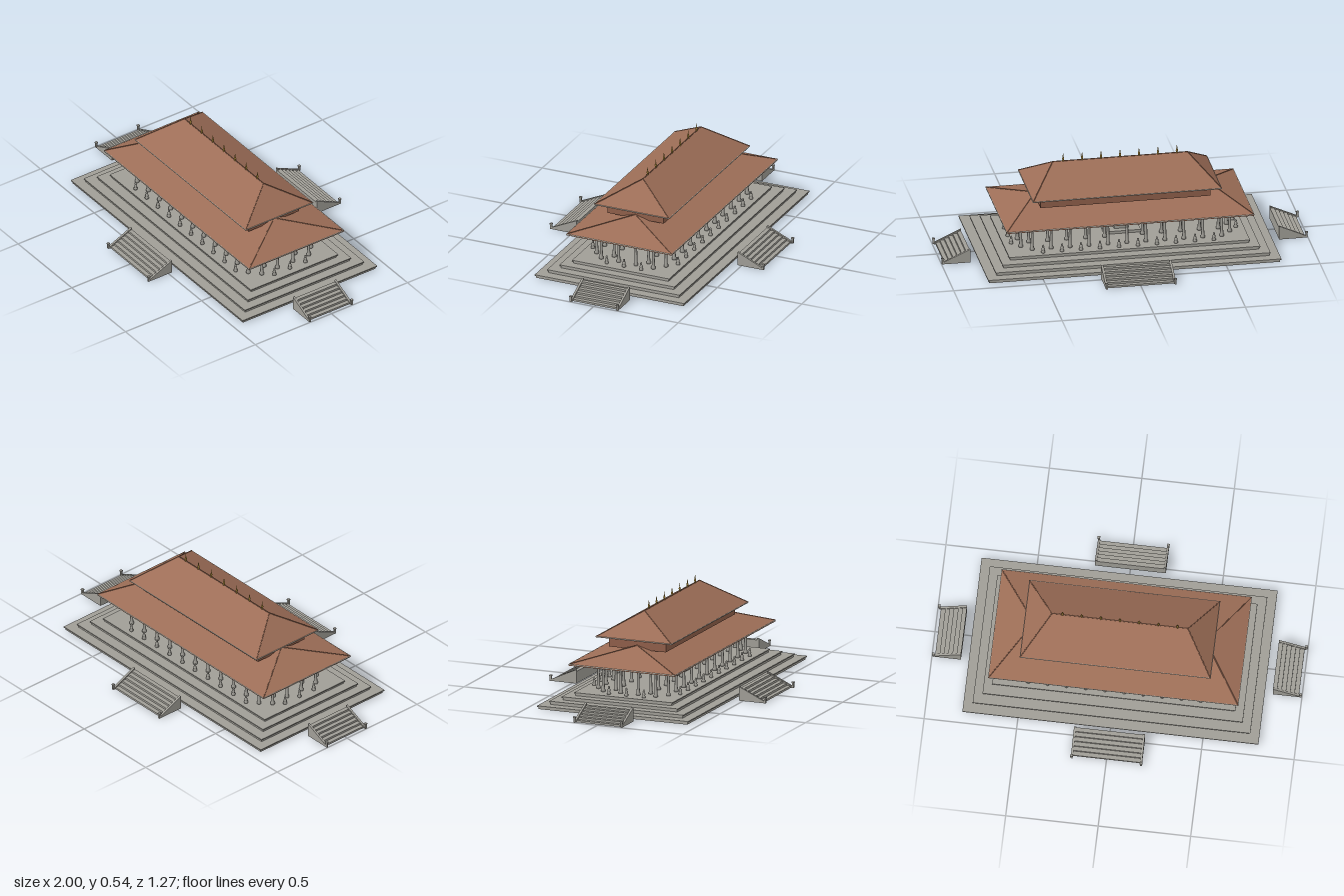
import * as THREE from 'three';

const mat = (name, color, extra = {}) => {
  const m = new THREE.MeshStandardMaterial({ color, ...extra });
  m.name = name;
  return m;
};

export function createModel() {
  const stone = mat('stone', 0xa09e97);
  const tile = mat('terracotta tile', 0x9d6e57);
  const wood = mat('brown wood', 0x8f5f4a);
  const trim = mat('pale trim', 0xcfc6ba);
  const gold = mat('gold', 0xb3903f);

  const model = new THREE.Group();
  model.name = 'pavilion';

  const add = (parent, name, geometry, material, x = 0, y = 0, z = 0) => {
    const m = new THREE.Mesh(geometry, material);
    m.name = name;
    m.position.set(x, y, z);
    parent.add(m);
    return m;
  };
  // Box given by its full width and depth and its lower and upper height
  const box = (parent, name, material, w, d, y0, y1, x = 0, z = 0) =>
    add(parent, name, new THREE.BoxGeometry(w, y1 - y0, d), material, x, (y0 + y1) / 2, z);
  const lathe = (pts, sides) =>
    new THREE.LatheGeometry(pts.map(([r, y]) => new THREE.Vector2(r, y)), sides);
  const group = (name) => {
    const g = new THREE.Group();
    g.name = name;
    model.add(g);
    return g;
  };

  // Stepped platform, each tier with a slightly projecting top slab
  const platform = group('platform');
  [[0.8, 0.442, 0, 0.019], [0.75, 0.392, 0.019, 0.038],
    [0.703, 0.34, 0.038, 0.057], [0.657, 0.287, 0.057, 0.075]].forEach(([hx, hz, y0, y1]) => {
    box(platform, 'tier', stone, hx * 2 - 0.012, hz * 2 - 0.012, y0, y1 - 0.006);
    box(platform, 'tierSlab', stone, hx * 2, hz * 2, y1 - 0.006, y1);
  });

  // Detached stairways, climbing toward the platform
  const stairway = (name, halfWidth, start, angle) => {
    const g = group(name);
    g.rotation.y = angle;
    const steps = 6, run = 0.14, rise = 0.066;
    for (let i = 0; i < steps; i++) {
      const depth = run * (steps - i) / steps;
      box(g, 'step', stone, halfWidth * 2 - 0.02, depth, rise * i / steps, rise * (i + 1) / steps,
        0, start + depth / 2);
    }
    const side = new THREE.Shape([[0, 0], [0.147, 0], [0.147, 0.01], [0, 0.077]]
      .map(([a, b]) => new THREE.Vector2(a, b)));
    for (const s of [-1, 1]) {
      const wall = add(g, 'sideWall',
        new THREE.ExtrudeGeometry(side, { depth: 0.012, bevelEnabled: false }),
        stone, s * (halfWidth - 0.006) - 0.006, 0, start);
      wall.rotation.y = -Math.PI / 2;
      wall.position.x += 0.012;
      box(g, 'endPost', stone, 0.01, 0.01, 0, 0.027, s * (halfWidth - 0.004), start + 0.15);
      box(g, 'postCap', stone, 0.014, 0.014, 0.027, 0.033, s * (halfWidth - 0.004), start + 0.15);
    }
  };
  stairway('frontStairs', 0.192, 0.477, 0);
  stairway('backStairs', 0.192, 0.477, Math.PI);
  stairway('leftStairs', 0.142, 0.843, Math.PI / 2);
  stairway('rightStairs', 0.142, 0.843, -Math.PI / 2);

  // Columns with a stone base and a wooden bracket capital
  const columns = group('columns');
  const shaft = lathe([[0, 0], [0.012, 0], [0.012, 0.01], [0.009, 0.016], [0.008, 0.04],
    [0.0062, 0.13], [0.008, 0.134], [0.008, 0.14], [0, 0.14]], 10);
  const column = (x, z) => {
    add(columns, 'column', shaft, stone, x, 0.075, z);
    box(columns, 'capital', wood, 0.021, 0.021, 0.209, 0.216, x, z);
    box(columns, 'bracket', wood, 0.032, 0.032, 0.216, 0.226, x, z);
  };
  const bay = 0.1035;
  for (let i = -5; i <= 5; i++) {
    for (const z of [-0.205, 0.205]) column(i * bay, z);
    if (i !== 0) for (const z of [-0.102, 0.102]) column(i * bay, z);
  }
  for (const x of [-0.57, 0.57]) for (const z of [-0.154, -0.051, 0.051, 0.154]) column(x, z);

  // Small guardian figures between the columns
  const figures = group('guardianFigures');
  const figureGeo = lathe([[0, 0], [0.011, 0], [0.011, 0.008], [0.007, 0.011], [0.009, 0.018],
    [0.008, 0.027], [0.004, 0.031], [0.006, 0.036], [0.005, 0.042], [0, 0.046]], 8);
  const figure = (x, z) => add(figures, 'guardianFigure', figureGeo, stone, x, 0.075, z);
  for (let i = -5; i < 5; i++) for (const z of [-0.252, 0.252]) figure((i + 0.5) * bay, z);
  for (const x of [-0.613, 0.613]) for (const z of [-0.102, 0, 0.102]) figure(x, z);

  // Central altar
  const altar = group('altar');
  box(altar, 'altarBase', stone, 0.2, 0.15, 0.075, 0.09);
  box(altar, 'altarTable', stone, 0.08, 0.08, 0.09, 0.108);

  // Hipped roof: sloping faces, eave band and flat soffit
  const hipGeometry = (hx, hz, ridge, y0, yEave, yTop) => {
    const p = [];
    const face = (...c) => {
      for (let i = 1; i < c.length - 1; i++) p.push(...c[0], ...c[i], ...c[i + 1]);
    };
    for (const s of [1, -1]) {
      const a = [-s * hx, yEave, s * hz], b = [s * hx, yEave, s * hz], c = [s * hx, yEave, -s * hz];
      const low = ([x, , z]) => [x, y0, z];
      const r = [s * ridge, yTop, 0], l = [-s * ridge, yTop, 0];
      face(a, b, r, l);
      face(b, c, r);
      face(low(a), low(b), b, a);
      face(low(b), low(c), c, b);
    }
    face([-hx, y0, -hz], [hx, y0, -hz], [hx, y0, hz], [-hx, y0, hz]);
    const g = new THREE.BufferGeometry();
    g.setAttribute('position', new THREE.Float32BufferAttribute(p, 3));
    g.computeVertexNormals();
    return g;
  };
  const bar = (parent, name, from, to, radius, material) => {
    const a = new THREE.Vector3(...from), b = new THREE.Vector3(...to), d = b.clone().sub(a);
    const m = add(parent, name, new THREE.CylinderGeometry(radius, radius, d.length(), 6), material);
    m.position.copy(a.add(b).multiplyScalar(0.5));
    m.quaternion.setFromUnitVectors(new THREE.Vector3(0, 1, 0), d.normalize());
  };
  const roof = (name, hx, hz, ridge, y0, yEave, yTop) => {
    const g = group(name);
    add(g, 'roofSlopes', hipGeometry(hx, hz, ridge, y0, yEave, yTop), tile);
    bar(g, 'ridgeTiles', [-ridge, yTop, 0], [ridge, yTop, 0], 0.0025, tile);
    for (const sx of [-1, 1]) {
      for (const sz of [-1, 1]) {
        bar(g, 'hipTiles', [sx * hx, yEave, sz * hz], [sx * ridge, yTop, 0], 0.0025, tile);
      }
      box(g, 'sideEaveTrim', trim, 0.003, hz * 2 + 0.003, yEave - 0.003, yEave + 0.001, sx * hx, 0);
      box(g, 'longEaveTrim', trim, hx * 2 + 0.003, 0.003, yEave - 0.003, yEave + 0.001, 0, sx * hz);
    }
  };
  roof('lowerRoof', 0.675, 0.311, 0.465, 0.225, 0.233, 0.321);
  roof('upperRoof', 0.515, 0.221, 0.368, 0.355, 0.36, 0.492);

  // Wall band between the roofs, and beams under the lower soffit
  box(model, 'upperWall', wood, 0.928, 0.332, 0.298, 0.356);
  const beams = group('beams');
  for (const z of [-0.205, -0.102, 0.102, 0.205]) {
    box(beams, 'longBeam', wood, 1.16, 0.014, 0.217, 0.2255, 0, z);
  }
  for (const x of [-0.57, 0.57]) box(beams, 'crossBeam', wood, 0.014, 0.42, 0.217, 0.2255, x, 0);

  // Ridge finials
  const finials = group('finials');
  const finialGeo = lathe([[0, 0], [0.006, 0], [0.004, 0.007], [0.0065, 0.014], [0.004, 0.021],
    [0.002, 0.026], [0.0028, 0.03], [0, 0.047]], 8);
  for (let i = -3; i <= 3; i++) add(finials, 'finial', finialGeo, gold, i * bay, 0.491, 0);

  return model;
}
